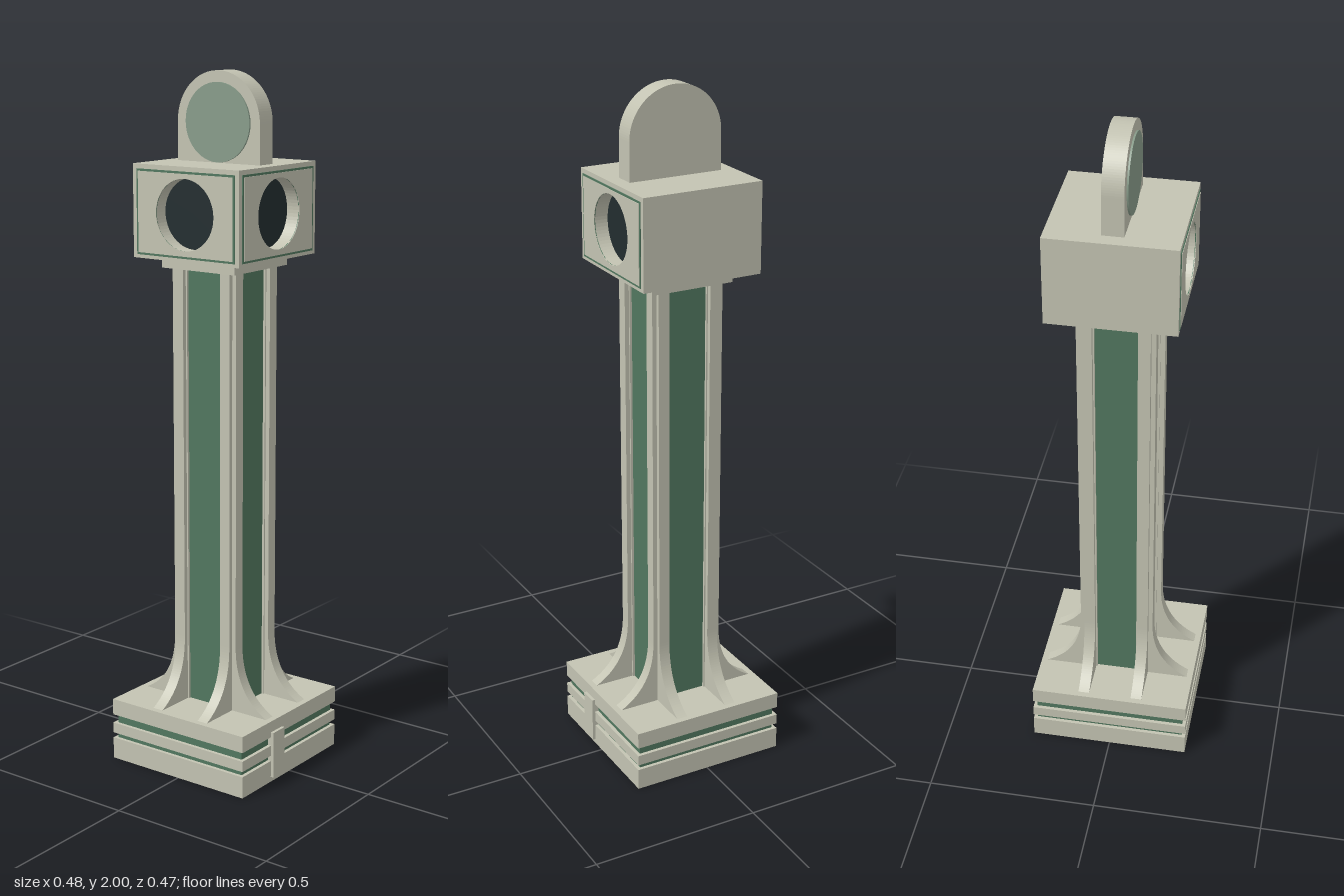
import * as THREE from 'three';

export function createModel() {
  const mat = (name, color) => {
    const m = new THREE.MeshStandardMaterial({ color });
    m.name = name;
    return m;
  };
  const stone = mat('stone', 0xc3c3b2);
  const green = mat('green', 0x51775f);
  const paleGreen = mat('paleGreen', 0x889c8a);
  const dark = mat('dark', 0x222d2f);

  const model = new THREE.Group();
  model.name = 'clockTower';
  const tower = new THREE.Group();
  tower.name = 'tower';
  tower.position.set(-0.0055, 0, -0.0015);
  model.add(tower);

  const add = (name, geo, material, parent = tower) => {
    const m = new THREE.Mesh(geo, material);
    m.name = name;
    parent.add(m);
    return m;
  };
  // Box from its minimum to its maximum corner
  const box = (name, material, x0, x1, y0, y1, z0, z1) => {
    const m = add(name, new THREE.BoxGeometry(x1 - x0, y1 - y0, z1 - z0), material);
    m.position.set((x0 + x1) / 2, (y0 + y1) / 2, (z0 + z1) / 2);
    return m;
  };
  const slab = (name, material, half, y0, y1) => box(name, material, -half, half, y0, y1, -half, half);
  const extrude = (shape, depth) =>
    new THREE.ExtrudeGeometry(shape, { depth, bevelEnabled: false, curveSegments: 32 });

  // Plinth with two recessed bands
  slab('plinthBottom', stone, 0.2355, 0, 0.064);
  slab('plinthLowerBand', green, 0.225, 0.064, 0.08);
  slab('plinthMiddle', stone, 0.2355, 0.08, 0.111);
  slab('plinthUpperBand', green, 0.225, 0.111, 0.137);
  slab('plinthTop', stone, 0.2355, 0.137, 0.185);
  box('plinthDoor', stone, 0.22, 0.2445, 0.015, 0.152, 0.042, 0.097);

  // Shaft with paired flared fins on each side
  slab('shaft', green, 0.09, 0.185, 1.46);
  const fin = new THREE.Shape();
  fin.moveTo(0.06, 0.185);
  fin.lineTo(0.2175, 0.185);
  fin.quadraticCurveTo(0.11, 0.24, 0.11, 0.38);
  fin.lineTo(0.11, 1.46);
  fin.lineTo(0.06, 1.46);
  const finGeo = extrude(fin, 0.033).translate(0, 0, -0.0165);
  for (let i = 0; i < 4; i++) {
    const side = new THREE.Group();
    side.name = 'finPair' + i;
    side.rotation.y = i * Math.PI / 2;
    tower.add(side);
    for (const s of [-1, 1]) add('fin', finGeo, stone, side).position.z = s * 0.0805;
  }
  slab('capital', stone, 0.125, 1.46, 1.491);

  // Head: a solid core with pierced walls on the front and left
  const H = 0.1805, y0 = 1.491, y1 = 1.75, cy = 1.62, r = 0.098, deep = 0.04;
  box('headCore', stone, -H, H - deep, y0, y1, -H, H - deep);
  box('headCorner', stone, H - deep, H, y0, y1, H - deep, H);
  const pierced = (xa, xb, ya, yb) => {
    const s = new THREE.Shape();
    s.moveTo(xa, ya);
    s.lineTo(xb, ya);
    s.lineTo(xb, yb);
    s.lineTo(xa, yb);
    s.closePath();
    const hole = new THREE.Path();
    hole.absarc(0, cy, r, 0, Math.PI * 2, true);
    s.holes.push(hole);
    return s;
  };
  const face = (name, turn) => {
    const g = new THREE.Group();
    g.name = name;
    g.rotation.y = turn;
    tower.add(g);
    const [xa, xb] = turn ? [-(H - deep), H] : [-H, H - deep];
    add('headWall', extrude(pierced(xa, xb, y0, y1), deep), stone, g).position.z = H - deep;
    add('faceTrim', extrude(pierced(-0.167, 0.167, 1.501, 1.737), 0.002), green, g).position.z = H;
    add('facePlate', extrude(pierced(-0.161, 0.161, 1.507, 1.731), 0.0035), stone, g).position.z = H;
    add('clockDial', new THREE.CircleGeometry(r, 48), dark, g).position.set(0, cy, H - deep + 0.002);
  };
  face('frontClock', 0);
  face('leftClock', Math.PI / 2);

  // Arched crest with a round medallion
  const R = 0.14;
  const arch = new THREE.Shape();
  arch.moveTo(-R, y1);
  arch.lineTo(R, y1);
  arch.lineTo(R, 2 - R);
  arch.absarc(0, 2 - R, R, 0, Math.PI, false);
  arch.lineTo(-R, y1);
  add('crest', extrude(arch, 0.06), stone).position.z = -0.0295;
  const medallion = add('medallion',
    new THREE.CylinderGeometry(0.109, 0.109, 0.006, 48).rotateX(Math.PI / 2), paleGreen);
  medallion.position.set(0, 1.86, 0.0325);

  return model;
}
